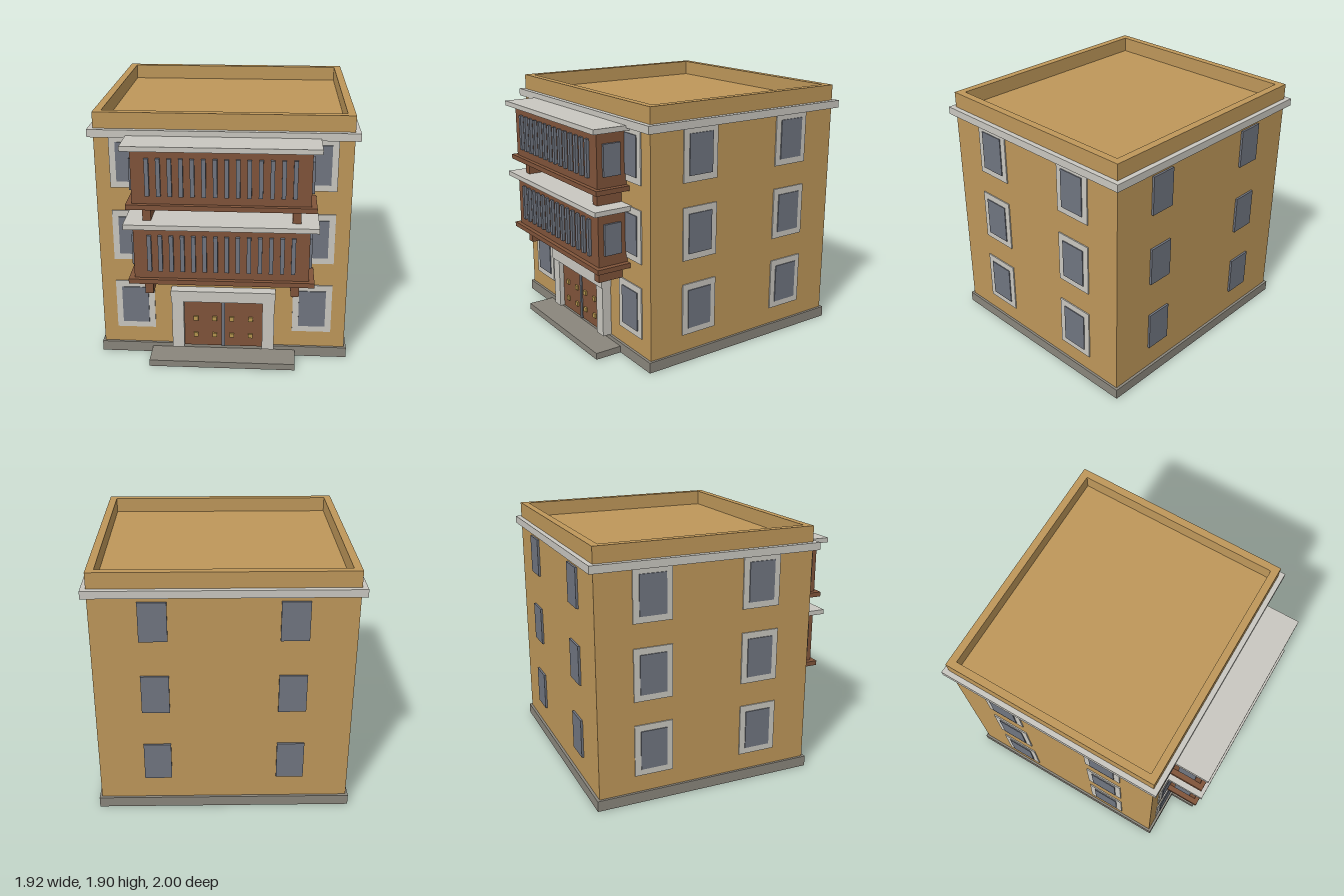
import * as THREE from 'three';

const mat = (name, color) => {
  const m = new THREE.MeshStandardMaterial({ color });
  m.name = name;
  return m;
};

export function createModel() {
  const model = new THREE.Group();
  model.name = 'building';
  const ochre = mat('ochre wall', 0xbe975a);
  const stone = mat('pale stone', 0xc9c7c0);
  const plinthGrey = mat('plinth grey', 0x8a867c);
  const wood = mat('brown wood', 0x80543a);
  const slate = mat('slate glass', 0x707580);
  const brass = mat('brass', 0xb8974f);

  // Box given by its limits on each axis
  const box = (parent, name, material, [x0, x1], [y0, y1], [z0, z1]) => {
    const mesh = new THREE.Mesh(new THREE.BoxGeometry(x1 - x0, y1 - y0, z1 - z0), material);
    mesh.position.set((x0 + x1) / 2, (y0 + y1) / 2, (z0 + z1) / 2);
    mesh.name = name;
    parent.add(mesh);
    return mesh;
  };
  const span = (c, size) => [c - size / 2, c + size / 2];
  const sym = (h) => [-h, h];

  const W = 0.92, BACK = -0.96, FRONT = 0.708;
  const MID = (BACK + FRONT) / 2;

  // Plinth, step and main block
  box(model, 'plinth', plinthGrey, sym(0.938), [0, 0.08], [BACK - 0.02, FRONT + 0.02]);
  box(model, 'doorStep', plinthGrey, sym(0.545), [0, 0.05], [0.7, 0.935]);
  box(model, 'walls', ochre, sym(W), [0.08, 1.79], [BACK, FRONT]);

  // Horizontal ring with a rectangular opening
  const ring = (name, material, out, inn, y, h) => {
    const rect = (Type, g) => {
      const p = new Type();
      p.moveTo(-W - g, -FRONT - g);
      p.lineTo(W + g, -FRONT - g);
      p.lineTo(W + g, -BACK + g);
      p.lineTo(-W - g, -BACK + g);
      p.closePath();
      return p;
    };
    const shape = rect(THREE.Shape, out);
    shape.holes.push(rect(THREE.Path, inn));
    const geo = new THREE.ExtrudeGeometry(shape, { depth: h, bevelEnabled: false });
    geo.rotateX(-Math.PI / 2);
    const mesh = new THREE.Mesh(geo, material);
    mesh.position.y = y;
    mesh.name = name;
    model.add(mesh);
  };
  ring('cornice', stone, 0.038, -0.02, 1.73, 0.056);
  ring('parapet', ochre, 0, -0.056, 1.785, 0.118);

  // Windows: local +z points out of the wall
  const addWindow = (x, y, z, turn, framed) => {
    const g = new THREE.Group();
    g.name = 'window';
    if (framed) box(g, 'windowFrame', stone, sym(0.146), sym(0.195), [-0.02, 0.009]);
    box(g, 'windowGlass', slate, sym(0.1), sym(0.147), [-0.02, 0.016]);
    g.position.set(x, y, z);
    g.rotation.y = turn;
    model.add(g);
  };
  for (const y of [0.405, 0.975, 1.543]) {
    for (const s of [-1, 1]) {
      addWindow(s * 0.667, y, FRONT, 0, true);
      addWindow(s * 0.487, y, BACK, Math.PI, false);
      for (const t of [-1, 1]) addWindow(s * W, y, MID + t * 0.418, s * Math.PI / 2, true);
    }
  }

  // Enclosed wooden balconies
  for (const y of [0.71, 1.28]) {
    const g = new THREE.Group();
    g.name = 'balcony';
    g.position.y = y;
    model.add(g);
    box(g, 'balconyFloor', wood, sym(0.664), [0, 0.036], [0.7, 0.975]);
    box(g, 'balconyBody', wood, sym(0.624), [0.036, 0.43], [0.7, 0.943]);
    box(g, 'balconyRoof', stone, sym(0.685), [0.43, 0.466], [0.7, 1]);
    for (let i = 0; i < 14; i++) {
      box(g, 'balconySlat', slate, span((i - 6.5) * 0.0785, 0.03), [0.097, 0.37], [0.93, 0.965]);
    }
    for (const s of [-1, 1]) {
      box(g, 'balconySideWindow', slate, span(s * 0.625, 0.036), [0.118, 0.348], [0.765, 0.9]);
      box(g, 'bracket', wood, span(s * 0.528, 0.06), [-0.107, -0.011], [0.7, 0.908]);
    }
  }

  // Entrance
  const door = new THREE.Group();
  door.name = 'entrance';
  model.add(door);
  box(door, 'lintel', stone, sym(0.39), [0.473, 0.56], [0.7, 0.788]);
  box(door, 'doorSeam', slate, sym(0.012), [0.08, 0.473], [0.7, 0.752]);
  for (const s of [-1, 1]) {
    box(door, 'doorPost', stone, span(s * 0.34, 0.09), [0.08, 0.473], [0.7, 0.78]);
    box(door, 'doorLeaf', wood, span(s * 0.153, 0.284), [0.08, 0.473], [0.7, 0.742]);
    for (const x of [0.066, 0.207]) {
      for (const y of [0.175, 0.315]) {
        box(door, 'doorStud', brass, span(s * x, 0.034), span(y, 0.034), [0.735, 0.757]);
      }
    }
  }

  return model;
}
